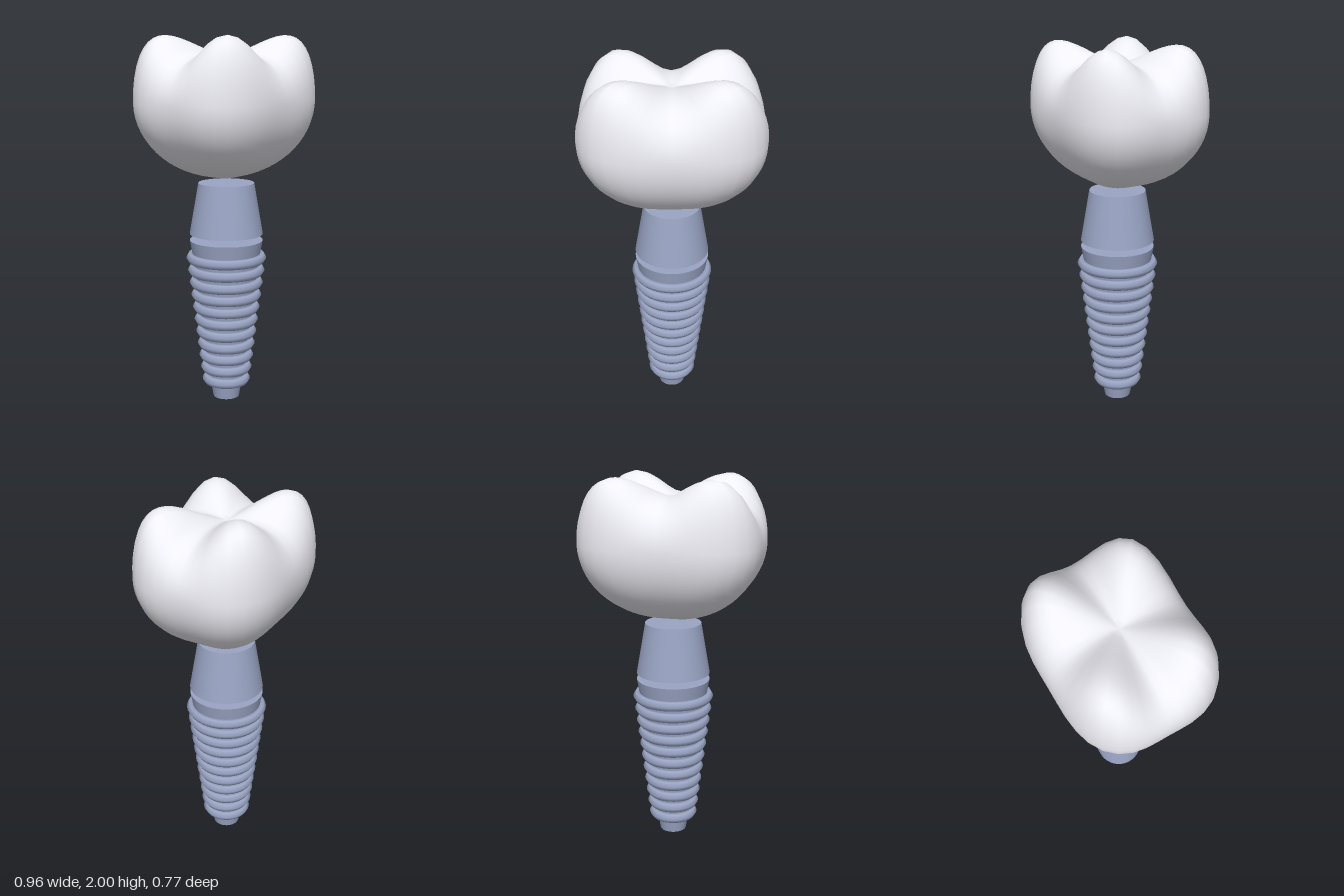
import * as THREE from 'three';
import { mergeVertices } from 'three/addons/utils/BufferGeometryUtils.js';

const metal = new THREE.MeshStandardMaterial({ color: 0x9aa5c4 });
const enamel = new THREE.MeshStandardMaterial({ color: 0xeeeef5 });

// Tapered cylinder standing between two heights
function taper(name, y0, r0, y1, r1) {
  const mesh = new THREE.Mesh(new THREE.CylinderGeometry(r1, r0, y1 - y0, 40), metal);
  mesh.name = name;
  mesh.position.y = (y0 + y1) / 2;
  return mesh;
}

// Molar crown: a sphere with rounded-square plan, four corner cusps and a central pit
function crownGeometry() {
  const g = new THREE.SphereGeometry(1, 40, 32);
  g.deleteAttribute('uv');
  g.deleteAttribute('normal');
  const p = g.attributes.position;
  for (let i = 0; i < p.count; i++) {
    const x = p.getX(i), c = p.getY(i), z = p.getZ(i);
    const s = Math.hypot(x, z);
    const corner = s > 1e-6 ? (2 * x * z / (s * s)) ** 2 : 0;
    const swell = 1 + 0.145 * corner;
    const y = c > 0
      ? 0.33 * c - 0.1 * (1 - s) + 0.345 * corner * s ** 1.7 * c
      : 0.41 * c;
    p.setXYZ(i, 0.48 * x * swell, 1.66 + y, 0.385 * z * swell);
  }
  const merged = mergeVertices(g, 1e-5);
  merged.computeVertexNormals();
  return merged;
}

export function createModel() {
  const model = new THREE.Group();
  model.name = 'dentalImplant';

  // Screw body
  model.add(
    taper('implantTip', 0, 0.073, 0.08, 0.086),
    taper('implantCore', 0.08, 0.095, 0.84, 0.187),
    taper('implantCollar', 0.83, 0.187, 0.905, 0.2),
    taper('abutment', 0.94, 0.2, 1.22, 0.152),
  );

  // Thread rings, shrinking towards the tip
  const threads = new THREE.Group();
  threads.name = 'threads';
  const count = 11;
  for (let i = 0; i < count; i++) {
    const t = i / (count - 1);
    const outer = THREE.MathUtils.lerp(0.134, 0.22, t);
    const ring = new THREE.Mesh(new THREE.TorusGeometry(outer - 0.028, 0.028, 6, 40), metal);
    ring.name = 'threadRing';
    ring.rotation.x = Math.PI / 2;
    ring.position.y = THREE.MathUtils.lerp(0.105, 0.807, t);
    threads.add(ring);
  }
  model.add(threads);

  // Crown floating just above the abutment
  const crown = new THREE.Mesh(crownGeometry(), enamel);
  crown.name = 'crown';
  model.add(crown);
  return model;
}
